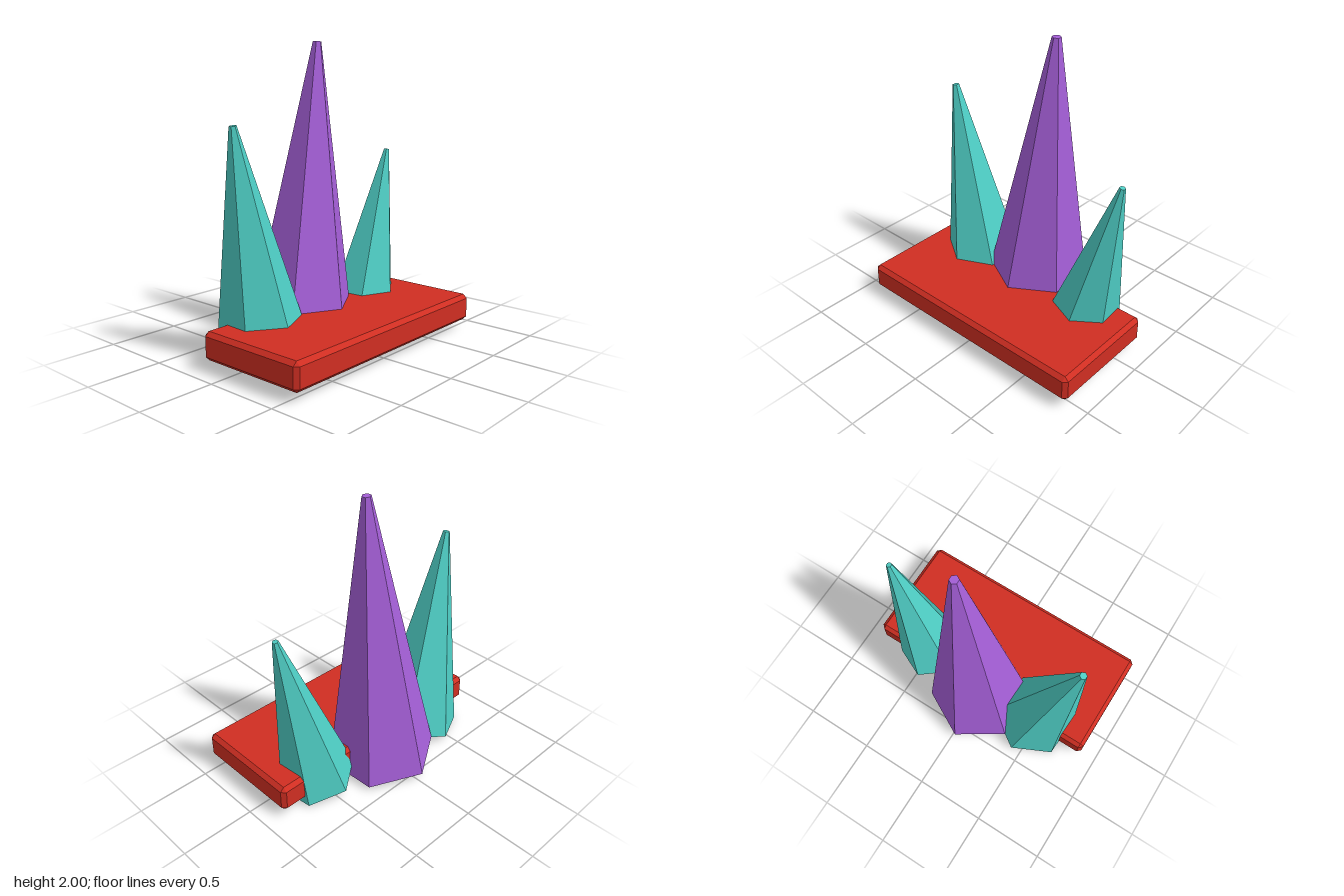
import * as THREE from 'three';
import { ConvexGeometry } from 'three/addons/geometries/ConvexGeometry.js';

const makeMaterial = (color) => new THREE.MeshStandardMaterial({ color, flatShading: true });

// Box with every edge and corner cut by one flat chamfer
function chamferedBox(w, h, d, c) {
  const points = [];
  for (const sx of [-1, 1]) for (const sy of [-1, 1]) for (const sz of [-1, 1]) {
    const [x, y, z] = [sx * w / 2, sy * h / 2, sz * d / 2];
    points.push(
      new THREE.Vector3(x, y - sy * c, z - sz * c),
      new THREE.Vector3(x - sx * c, y, z - sz * c),
      new THREE.Vector3(x - sx * c, y - sy * c, z)
    );
  }
  return new ConvexGeometry(points);
}

// Six-sided tapering spike running from the centre of its base to its tip
function crystal(name, base, tip, baseRadius, tipRadius, twist, material) {
  const from = new THREE.Vector3(...base);
  const axis = new THREE.Vector3(...tip).sub(from);
  const length = axis.length();
  const geometry = new THREE.CylinderGeometry(tipRadius, baseRadius, length, 6);
  geometry.translate(0, length / 2, 0);
  geometry.rotateY(twist);
  const mesh = new THREE.Mesh(geometry, material);
  mesh.name = name;
  mesh.quaternion.setFromUnitVectors(new THREE.Vector3(0, 1, 0), axis.normalize());
  mesh.position.copy(from);
  return mesh;
}

export function createModel() {
  const model = new THREE.Group();
  model.name = 'crystalCluster';

  const red = makeMaterial(0xd02e22);
  const purple = makeMaterial(0xa55fd8);
  const teal = makeMaterial(0x4ecdc4);

  // Base slab, set forward of the crystals
  const slab = new THREE.Mesh(chamferedBox(1.765, 0.185, 0.79, 0.027), red);
  slab.name = 'baseSlab';
  slab.position.set(0, 0.153, 0.183);
  model.add(slab);

  // Crystals, passing through the back edge of the slab
  model.add(
    crystal('centreCrystal', [-0.01, 0.05, -0.205], [0.133, 1.998, -0.188], 0.376, 0.03, 0.03, purple),
    crystal('rightCrystal', [-0.445, 0.05, -0.135], [-0.69, 1.485, -0.12], 0.306, 0.024, -0.05, teal),
    crystal('leftCrystal', [0.492, 0.06, -0.09], [0.757, 1.241, -0.07], 0.26, 0.02, 0.087, teal)
  );
  return model;
}
